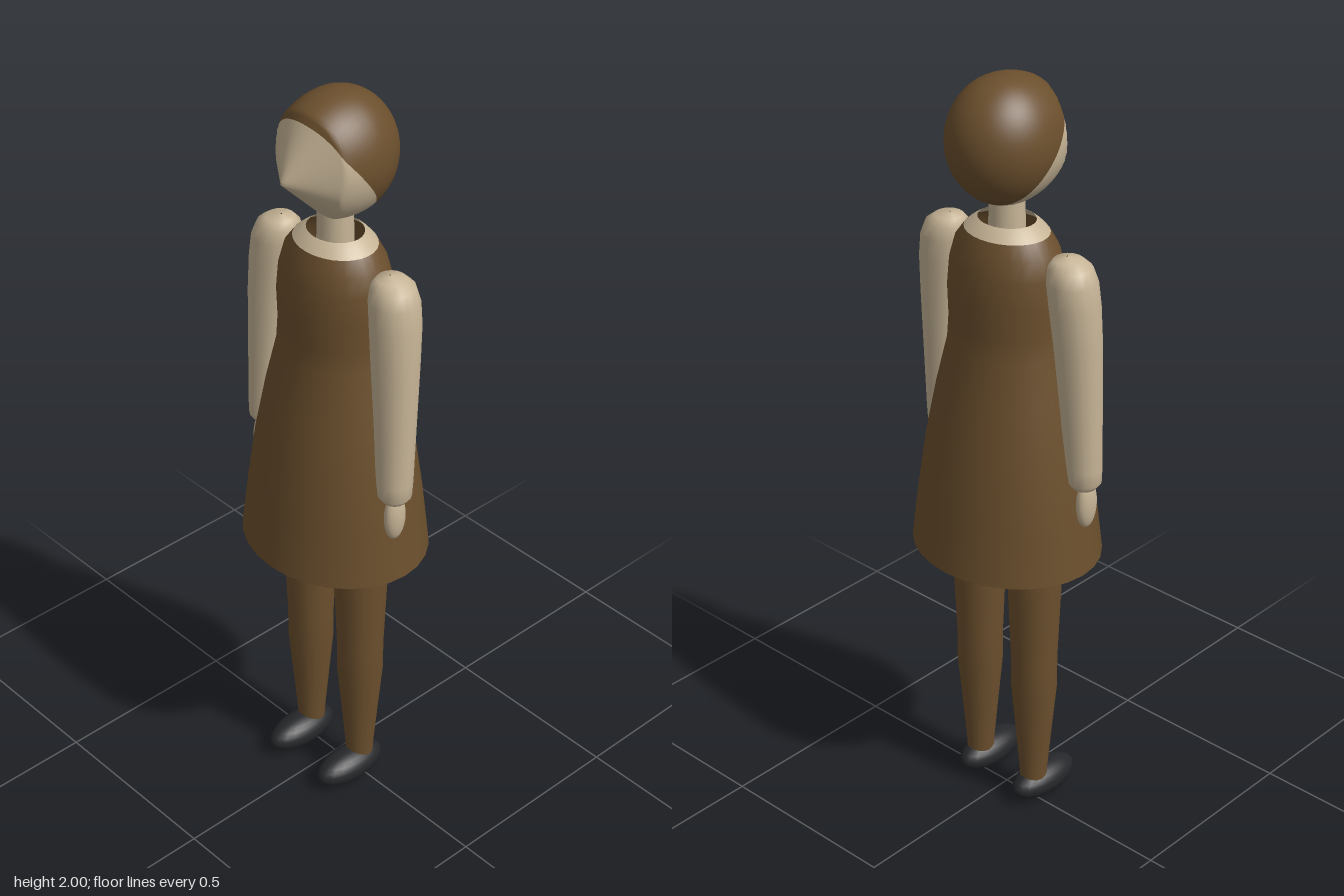
import * as THREE from 'three';
import { mergeVertices } from 'three/addons/utils/BufferGeometryUtils.js';

function makeMaterial(name, color, side = THREE.FrontSide) {
  const m = new THREE.MeshStandardMaterial({ color, side });
  m.name = name;
  return m;
}

// Smooth tube through elliptical rings, listed bottom to top: [y, rx, rz, cx, cz]
function loft(rings, sides) {
  const pos = [], index = [];
  for (const [y, rx, rz, cx = 0, cz = 0] of rings) {
    for (let i = 0; i < sides; i++) {
      const a = (i / sides) * Math.PI * 2;
      pos.push(cx + rx * Math.sin(a), y, cz + rz * Math.cos(a));
    }
  }
  for (let r = 0; r < rings.length - 1; r++) {
    for (let i = 0; i < sides; i++) {
      const a = r * sides + i, b = r * sides + ((i + 1) % sides);
      index.push(a, b, b + sides, a, b + sides, a + sides);
    }
  }
  const g = new THREE.BufferGeometry();
  g.setAttribute('position', new THREE.Float32BufferAttribute(pos, 3));
  g.setIndex(index);
  g.computeVertexNormals();
  return g;
}

// Part of the head, cut by a tilted hairline; the front narrows to a pointed nose
function headPart(thetaStart, thetaLength) {
  let g = new THREE.SphereGeometry(1, 48, 28, 0, Math.PI * 2, thetaStart, thetaLength);
  g.deleteAttribute('uv');
  g.deleteAttribute('normal');
  g = mergeVertices(g, 1e-5);
  g.rotateX(-0.988);
  const p = g.attributes.position;
  for (let i = 0; i < p.count; i++) {
    const x = p.getX(i) * 0.135;
    const y = 1.843 + p.getY(i) * 0.157;
    let z = p.getZ(i);
    z = z * (z > 0 ? 0.18 : 0.145) - 0.01;
    const dy = y - 1.82;
    const cone = 0.167 - Math.hypot(0.75 * x, dy * (dy > 0 ? 0.5 : 1));
    p.setXYZ(i, x, y, Math.min(z, cone));
  }
  g.computeVertexNormals();
  return g;
}

export function createModel() {
  const skin = makeMaterial('skin', 0xc6b496);
  const skinOpen = makeMaterial('neckline skin', 0xc6b496, THREE.DoubleSide);
  skinOpen.color = skin.color;
  const brown = makeMaterial('brown', 0x6b4f2d);
  const cloth = makeMaterial('brown cloth', 0x6b4f2d, THREE.DoubleSide);
  const black = makeMaterial('shoe black', 0x26272a);

  const model = new THREE.Group();
  model.name = 'woman';
  const add = (name, geometry, material) => {
    const mesh = new THREE.Mesh(geometry, material);
    mesh.name = name;
    model.add(mesh);
    return mesh;
  };
  const ellipsoid = (name, material, x, y, z, rx, ry, rz) => {
    const mesh = add(name, new THREE.SphereGeometry(1, 20, 14), material);
    mesh.position.set(x, y, z);
    mesh.scale.set(rx, ry, rz);
  };

  // Head and neck
  const hairline = 1.79;
  add('hair', headPart(0, hairline), brown);
  add('face', headPart(hairline, Math.PI - hairline), skin);
  add('neck', new THREE.CylinderGeometry(0.043, 0.046, 0.14, 20), skin).position.y = 1.64;

  // Sleeveless dress, open at hem and neck
  add('dress', loft([
    [0.755, 0.254, 0.22], [0.9, 0.236, 0.205], [1.05, 0.215, 0.184],
    [1.2, 0.186, 0.156], [1.32, 0.157, 0.13], [1.38, 0.153, 0.126],
    [1.46, 0.156, 0.128], [1.53, 0.152, 0.12], [1.58, 0.138, 0.108], [1.615, 0.112, 0.092],
  ], 28), cloth);
  add('neckline', loft([[1.615, 0.112, 0.092], [1.632, 0.092, 0.078], [1.643, 0.075, 0.064]], 28), skinOpen);

  for (const s of [1, -1]) {
    const side = s > 0 ? 'left' : 'right';

    // Arm with rounded shoulder and wrist end
    add(side + 'Arm', loft([
      [0.99, 0.002, 0.002, s * 0.235, 0.022], [0.993, 0.03, 0.03, s * 0.235, 0.022],
      [1.01, 0.043, 0.042, s * 0.235, 0.022], [1.05, 0.046, 0.045, s * 0.233, 0.021],
      [1.2, 0.052, 0.05, s * 0.227, 0.016], [1.38, 0.06, 0.058, s * 0.218, 0.01],
      [1.48, 0.063, 0.062, s * 0.211, 0.005], [1.54, 0.062, 0.062, s * 0.204, 0.003],
      [1.575, 0.054, 0.054, s * 0.198, 0.002], [1.593, 0.036, 0.036, s * 0.192, 0.002],
      [1.6, 0.002, 0.002, s * 0.188, 0.002],
    ], 16), skin);
    ellipsoid(side + 'Hand', skin, s * 0.24, 0.947, 0.025, 0.021, 0.067, 0.031);

    // Leg
    add(side + 'Leg', loft([
      [0.06, 0.034, 0.036, s * 0.095], [0.1, 0.036, 0.038, s * 0.095],
      [0.22, 0.047, 0.048, s * 0.095], [0.36, 0.06, 0.06, s * 0.095],
      [0.44, 0.06, 0.06, s * 0.095], [0.6, 0.066, 0.067, s * 0.095],
      [0.75, 0.071, 0.075, s * 0.095], [0.95, 0.076, 0.08, s * 0.095],
    ], 18), cloth);
    ellipsoid(side + 'Shoe', black, s * 0.095, 0.045, 0.037, 0.05, 0.045, 0.107);
  }
  return model;
}
